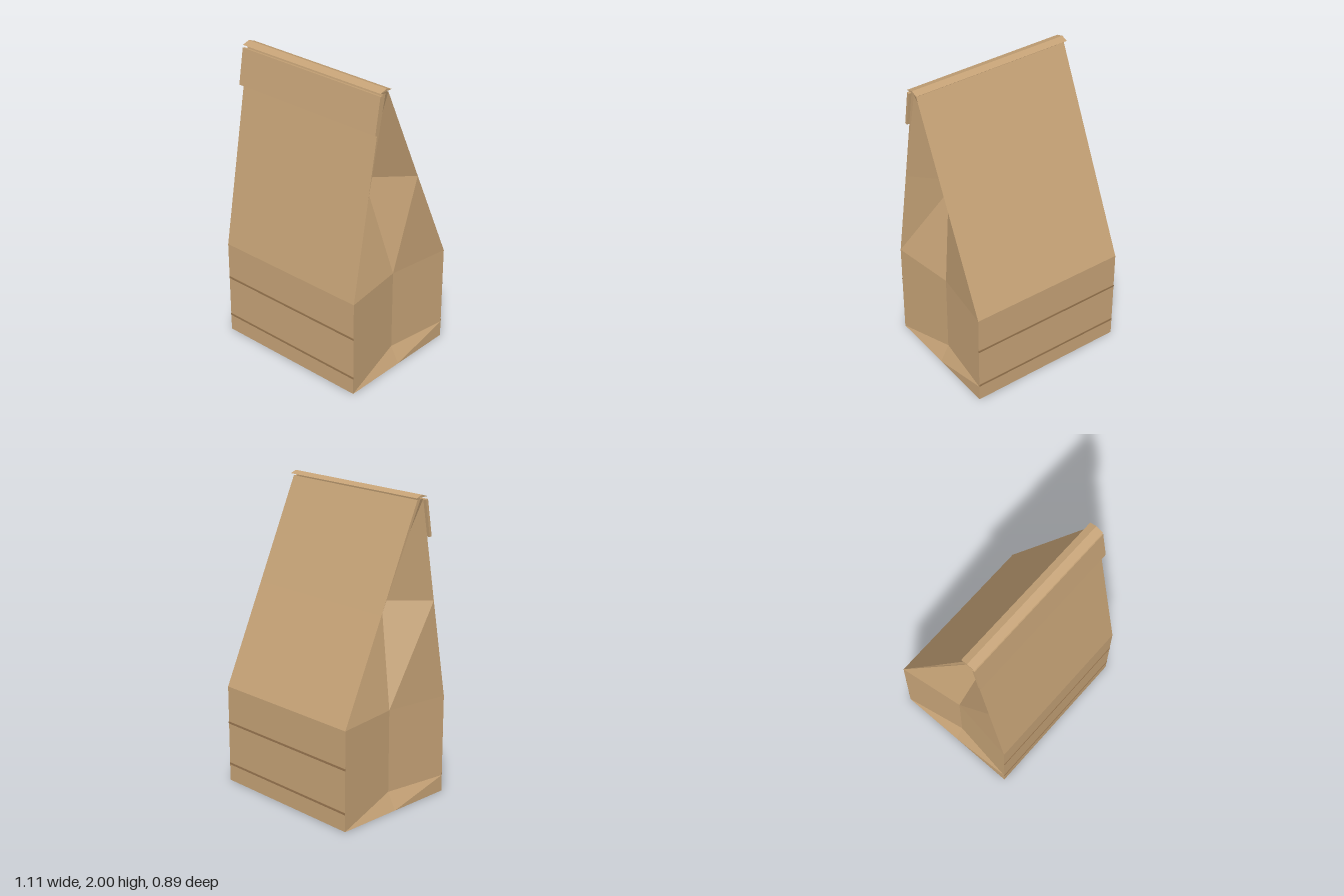
import * as THREE from 'three';

const kraft = new THREE.MeshStandardMaterial({ color: 0xc5a276, side: THREE.DoubleSide });
kraft.name = 'kraft paper';
const crease = new THREE.MeshStandardMaterial({ color: 0x987650 });
crease.name = 'crease brown';

const W = 0.545; // half width of the bag

// Bag levels: height, front z, back z, fold z, gusset depth
const levels = [
  [0, 0.44, -0.44, 0, 0],
  [0.11, 0.44, -0.44, 0, 0.06],
  [0.66, 0.44, -0.44, 0, 0.06],
  [1.315, 0.322, -0.142, 0.095, 0.23],
  [1.97, 0.205, 0.155, 0.18, 0],
];

// Six corners of the bag at one level, counter-clockwise from front right
const ring = ([y, front, back, fold, depth]) => [
  [-W, y, front], [W, y, front], [W - depth, y, fold],
  [W, y, back], [-W, y, back], [-W + depth, y, fold],
];

// Flat-sided strip of the bag wall running through the given ring corners
function wall(name, corners) {
  const pos = [];
  for (let l = 0; l < levels.length - 1; l++) {
    const low = ring(levels[l]), high = ring(levels[l + 1]);
    for (let i = 0; i < corners.length - 1; i++) {
      const a = corners[i], b = corners[i + 1];
      pos.push(...low[a], ...low[b], ...high[b], ...low[a], ...high[b], ...high[a]);
    }
  }
  const geo = new THREE.BufferGeometry();
  geo.setAttribute('position', new THREE.Float32BufferAttribute(pos, 3));
  geo.computeVertexNormals();
  return part(name, geo, kraft);
}

function part(name, geo, material) {
  const mesh = new THREE.Mesh(geo, material);
  mesh.name = name;
  return mesh;
}

export function createModel() {
  const bag = new THREE.Group();
  bag.name = 'paperBag';

  // Walls and folded side gussets
  bag.add(
    wall('frontPanel', [0, 1]),
    wall('leftGusset', [1, 2, 3]),
    wall('backPanel', [3, 4]),
    wall('rightGusset', [4, 5, 0]),
  );

  // Bottom sheet
  const floor = part('bottom', new THREE.PlaneGeometry(2 * W, 0.88), kraft);
  floor.rotation.x = Math.PI / 2;
  bag.add(floor);

  // Crease lines across the front and back of the base
  for (const y of [0.12, 0.41]) {
    for (const side of [1, -1]) {
      const line = part('creaseLine', new THREE.BoxGeometry(2 * W, 0.014, 0.004), crease);
      line.position.set(0, y, side * 0.441);
      bag.add(line);
    }
  }

  // Folded ridge along the top
  const profile = new THREE.Shape([
    new THREE.Vector2(-0.235, 1.984),
    new THREE.Vector2(-0.138, 1.984),
    new THREE.Vector2(-0.183, 2.0),
  ]);
  const ridgeGeo = new THREE.ExtrudeGeometry(profile, { depth: 1.11, bevelEnabled: false });
  ridgeGeo.rotateY(Math.PI / 2).translate(-0.555, 0, 0);
  bag.add(part('topFold', ridgeGeo, kraft));

  // Flap folded down over the front
  const flap = part('frontFlap', new THREE.BoxGeometry(1.11, 0.238, 0.018), kraft);
  flap.position.set(0, 1.848, 0.248);
  flap.rotation.x = -0.169;
  bag.add(flap);

  return bag;
}
